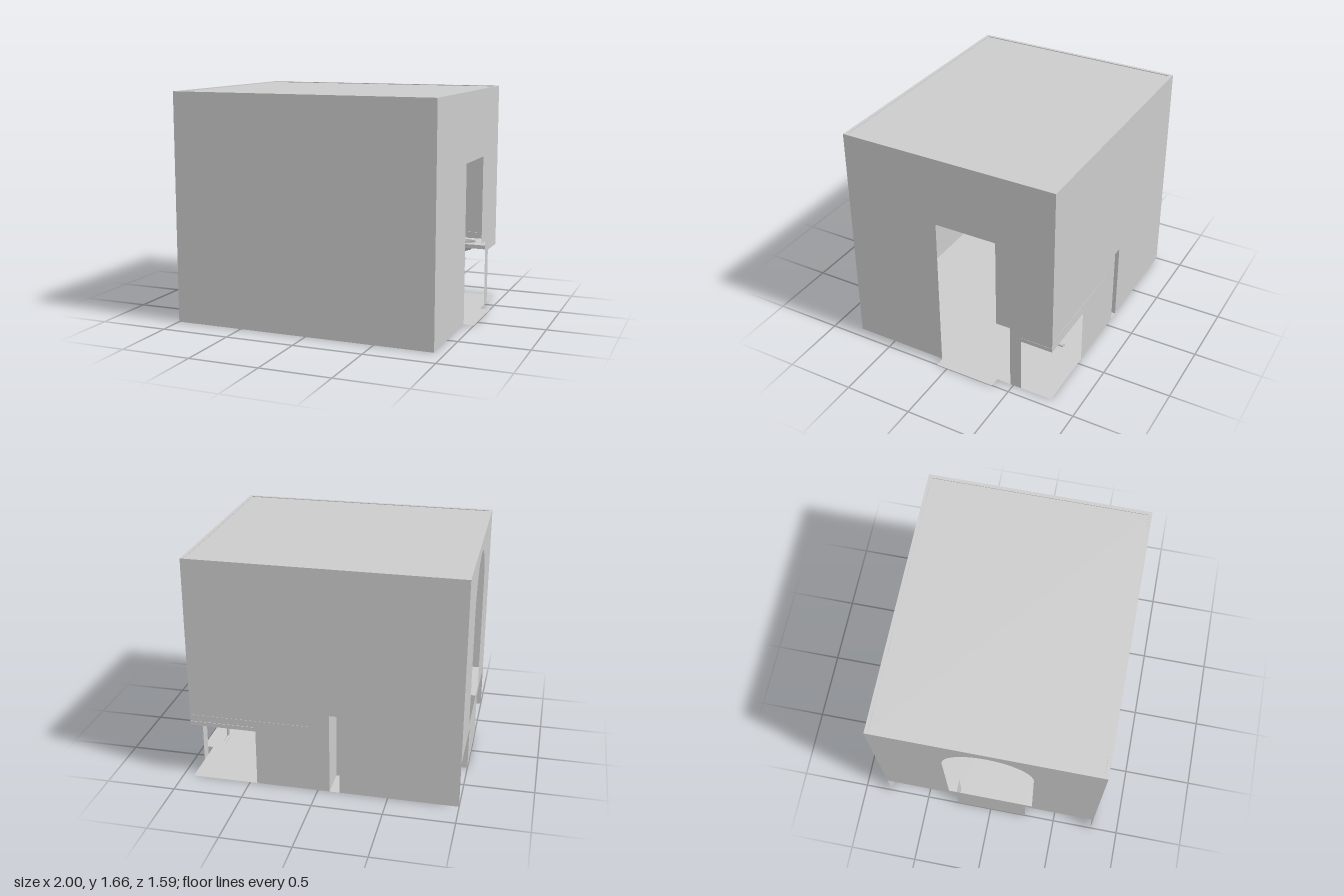
import * as THREE from 'three';

const X0 = -1, X1 = 0.925, ZF = 0.795, ZB = -0.795, H = 1.66;
const LEDGE_X = -0.89, LEDGE_Y = 0.33, NICHE = [-0.26, 0.275];

const mat = new THREE.MeshStandardMaterial({ color: 0xcccccc, side: THREE.DoubleSide });

const outline = (pts, T = THREE.Shape) => new T(pts.map(([a, b]) => new THREE.Vector2(a, b)));
const rect = (a0, a1, b0, b1) => [[a0, b0], [a1, b0], [a1, b1], [a0, b1]];

export function createModel() {
  const model = new THREE.Group();
  model.name = 'washroom';

  const add = (name, geo, x = 0, y = 0, z = 0, parent = model) => {
    const m = new THREE.Mesh(geo, mat);
    m.name = name;
    m.position.set(x, y, z);
    parent.add(m);
    return m;
  };
  // Flat sheets: outlines are (x, y) at a given z, (z, y) at a given x, or (x, z) at a given y
  const sheetZ = (name, shape, z, parent) => add(name, new THREE.ShapeGeometry(shape, 24), 0, 0, z, parent);
  const sheetX = (name, shape, x, parent) =>
    add(name, new THREE.ShapeGeometry(shape, 24).rotateY(-Math.PI / 2), x, 0, 0, parent);
  const sheetY = (name, shape, y, parent) =>
    add(name, new THREE.ShapeGeometry(shape, 24).rotateX(Math.PI / 2), 0, y, 0, parent);
  const box = (name, x0, x1, y0, y1, z0, z1, parent) =>
    add(name, new THREE.BoxGeometry(x1 - x0, y1 - y0, z1 - z0),
      (x0 + x1) / 2, (y0 + y1) / 2, (z0 + z1) / 2, parent);

  // Floor with the door threshold and the window bay
  sheetY('floor', outline([
    [LEDGE_X, ZB], [X1, ZB], [X1, -0.37], [1, -0.37], [1, 0.085], [X1, 0.085], [X1, ZF],
    [LEDGE_X, ZF], [LEDGE_X, NICHE[1]], [X0, NICHE[1]], [X0, NICHE[0]], [LEDGE_X, NICHE[0]],
  ]), 0);

  // Front wall
  sheetZ('frontWall', outline(rect(X0, X1, 0, H)), ZF);

  // Back wall: open below the counter, slot behind the low partition
  sheetZ('backWall', outline([
    [X0, 0], [-0.158, 0], [-0.158, 0.6], [-0.084, 0.6], [-0.084, 0],
    [0.447, 0], [0.447, 0.45], [X1, 0.45], [X1, H], [X0, H],
  ]), ZB);
  box('splashTrim', 0.07, X1, 0.485, 0.5, ZB - 0.002, ZB + 0.006);

  // Door wall: doorway, low side opening, narrow pier, opening under the counter
  sheetX('doorWall', outline([
    [ZF, 0], [0.09, 0], [0.09, 1.16], [-0.366, 1.16], [-0.366, 0.5], [-0.475, 0.5],
    [-0.475, 0], [-0.56, 0], [-0.56, 0.45], [ZB, 0.45], [ZB, H], [ZF, H],
  ]), X1);

  // Window wall, reaching the floor only at the bay
  const windowWall = outline([
    [ZB, LEDGE_Y], [NICHE[0], LEDGE_Y], [NICHE[0], 0], [NICHE[1], 0],
    [NICHE[1], LEDGE_Y], [ZF, LEDGE_Y], [ZF, H], [ZB, H],
  ]);
  const arch = new THREE.Path();
  arch.moveTo(-0.312, 0.39).lineTo(0.324, 0.39).lineTo(0.324, 1.22);
  arch.absellipse(0.006, 1.22, 0.318, 0.357, 0, Math.PI, false);
  arch.closePath();
  windowWall.holes.push(arch);
  sheetX('windowWall', windowWall, X0);

  // Ledges either side of the bay: top, riser and end
  for (const [a, b, end] of [[ZB, NICHE[0], NICHE[0]], [NICHE[1], ZF, NICHE[1]]]) {
    const ledge = new THREE.Group();
    ledge.name = 'ledge';
    model.add(ledge);
    sheetY('ledgeTop', outline(rect(X0, LEDGE_X, a, b)), LEDGE_Y, ledge);
    sheetX('ledgeRiser', outline(rect(a, b, 0, LEDGE_Y)), LEDGE_X, ledge);
    sheetZ('ledgeEnd', outline(rect(X0, LEDGE_X, 0, LEDGE_Y)), end, ledge);
  }

  // Ceiling with a cornice around its edge
  const t = 0.025;
  sheetY('ceiling', outline(rect(X0 + t, X1 - t, ZB + t, ZF - t)), H - 0.005);
  const cornice = new THREE.Group();
  cornice.name = 'cornice';
  model.add(cornice);
  for (const z of [ZB, ZF - t]) box('corniceLong', X0, X1, H - 0.035, H, z, z + t, cornice);
  for (const x of [X0, X1 - t]) box('corniceShort', x, x + t, H - 0.035, H, ZB + t, ZF - t, cornice);

  // Hollow low partition, open at the back
  const partition = new THREE.Group();
  partition.name = 'partition';
  model.add(partition);
  for (const x of [-0.158, -0.084]) sheetX('partitionSide', outline(rect(ZB, -0.57, 0, 0.6)), x, partition);
  sheetZ('partitionEnd', outline(rect(-0.158, -0.084, 0, 0.6)), -0.57, partition);
  sheetY('partitionTop', outline(rect(-0.158, -0.084, ZB, -0.57)), 0.6, partition);

  // Counter slab with an oval cut-out
  const SX = 0.685, SZ = -0.667;
  const slab = outline(rect(0.447, X1, ZB, -0.56));
  const hole = new THREE.Path();
  hole.absellipse(SX, SZ, 0.112, 0.074, 0, Math.PI * 2, true);
  slab.holes.push(hole);
  add('counter', new THREE.ExtrudeGeometry(slab, { depth: 0.03, bevelEnabled: false, curveSegments: 24 })
    .rotateX(Math.PI / 2), 0, 0.448, 0);

  // Oval basin
  const bowl = [[0.001, 0.37], [0.028, 0.373], [0.05, 0.384], [0.066, 0.405], [0.074, 0.43], [0.078, 0.45],
    [0.073, 0.45], [0.066, 0.425], [0.055, 0.402], [0.035, 0.387], [0.001, 0.382]];
  add('basin', new THREE.LatheGeometry(bowl.map(([r, y]) => new THREE.Vector2(r, y)), 40)
    .scale(1.5, 1, 1), SX, 0, SZ);

  // Drain pipe turning towards the back wall
  const drain = new THREE.CurvePath();
  const v = (y, z) => new THREE.Vector3(SX, y, z);
  drain.add(new THREE.LineCurve3(v(0.375, -0.68), v(0.315, -0.68)));
  drain.add(new THREE.QuadraticBezierCurve3(v(0.315, -0.68), v(0.288, -0.68), v(0.288, -0.707)));
  drain.add(new THREE.LineCurve3(v(0.288, -0.707), v(0.288, -0.766)));
  add('drainPipe', new THREE.TubeGeometry(drain, 30, 0.011, 12));

  return model;
}
